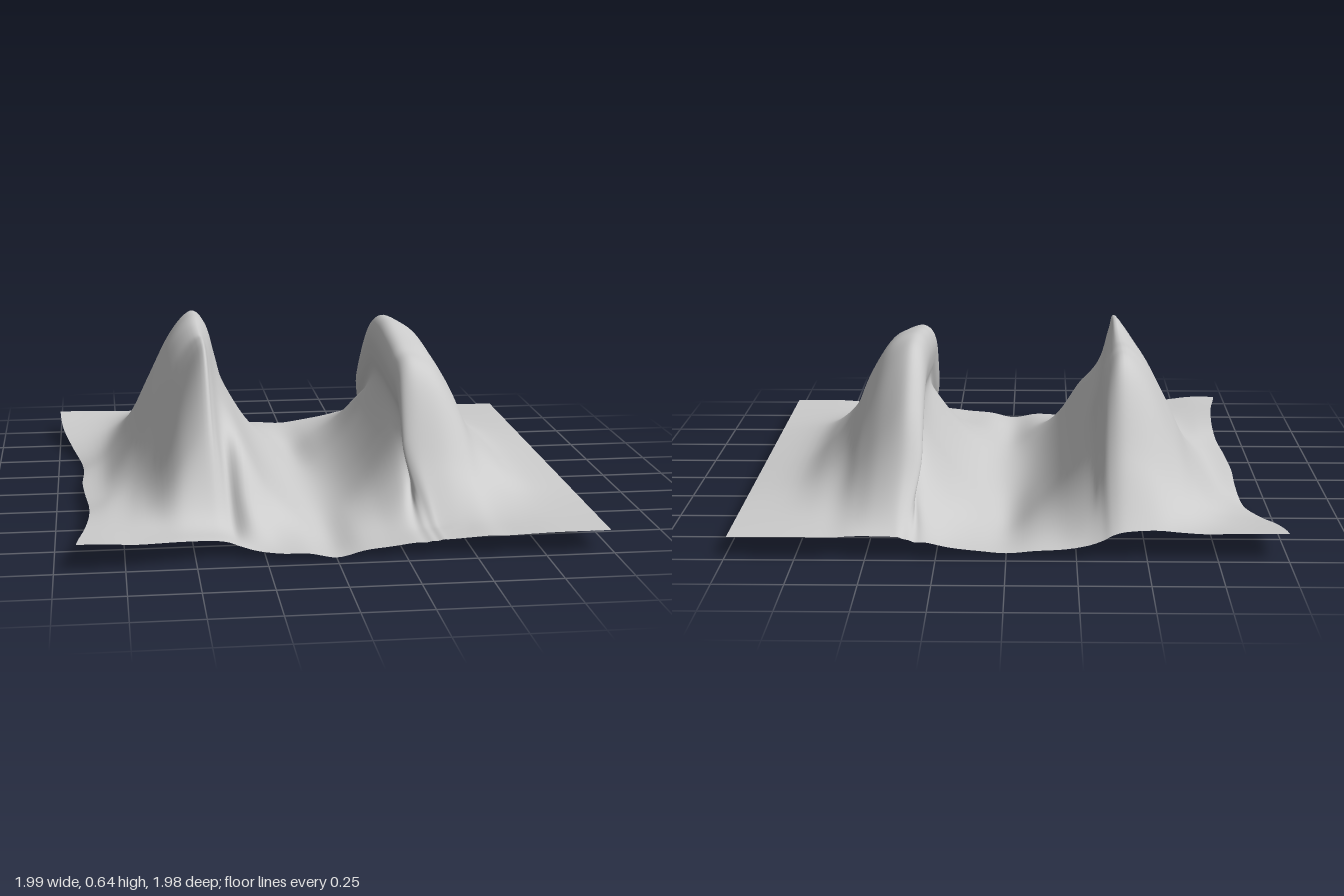
import * as THREE from 'three';

// Cross-section columns: raised x, raised y, flat x, flat y, envelope (fractions blend two)
const COLUMNS = [
  [-0.89, 0.03, -0.96, 0.1, 0], [-0.8, 0.07, -0.82, 0.1, 0], [-0.7, 0.2, -0.71, 0.09, 0],
  [-0.62, 0.37, -0.62, 0.085, 0.25], [-0.52, 0.56, -0.53, 0.08, 0.7], [-0.43, 0.64, -0.43, 0.07, 1],
  [-0.37, 0.585, -0.38, 0.06, 1], [-0.335, 0.46, -0.34, 0.045, 1], [-0.3, 0.34, -0.28, 0.03, 4],
  [-0.2, 0.165, -0.2, 0.025, 4], [-0.1, 0.06, -0.1, 0.025, 4], [0, 0.02, 0, 0.02, 4],
  [0.1, 0.045, 0.1, 0.03, 5], [0.2, 0.13, 0.2, 0.04, 5], [0.3, 0.27, 0.28, 0.05, 5],
  [0.342, 0.38, 0.32, 0.05, 2], [0.322, 0.47, 0.345, 0.055, 2], [0.312, 0.56, 0.365, 0.055, 2],
  [0.335, 0.625, 0.385, 0.06, 2], [0.385, 0.64, 0.41, 0.06, 2], [0.47, 0.59, 0.48, 0.065, 2.4],
  [0.55, 0.46, 0.55, 0.07, 2.8], [0.615, 0.31, 0.62, 0.07, 3], [0.7, 0.2, 0.7, 0.075, 3],
  [0.81, 0.115, 0.81, 0.08, 3], [0.99, 0.08, 0.99, 0.08, 3],
];

// Smooth curve through evenly spaced values
function smooth(values) {
  const curve = new THREE.SplineCurve(values.map((v, i) => new THREE.Vector2(i, v)));
  return (t) => curve.getPoint(t).y;
}

// Ridge height from back to front: left slope, left crest, right crest, right slope, left foot, right foot
const ENVELOPES = [
  [0.05, 0.33, 0.78, 1, 1, 0.92, 0.62, 0.32, 0.13, 0.02, 0],
  [0.06, 0.43, 0.93, 1, 0.98, 0.98, 1, 0.92, 0.55, 0.07, 0],
  [0.04, 0.27, 0.67, 0.95, 1, 0.97, 0.92, 0.82, 0.28, 0.02, 0],
  [0.03, 0.13, 0.4, 0.8, 1, 1, 0.95, 0.76, 0.3, 0.05, 0],
  [0.06, 0.45, 0.93, 1, 1, 1, 1, 0.97, 0.8, 0.25, 0],
  [0.06, 0.38, 0.8, 1, 1, 1, 1, 0.9, 0.42, 0.06, 0],
].map(smooth);

function envelope(e, v) {
  const low = Math.floor(e);
  const k = THREE.MathUtils.lerp(ENVELOPES[low](v), ENVELOPES[Math.ceil(e)](v), e - low);
  return Math.max(0, k);
}

// Wavy front and back borders, the side border's drift, the valley floor, the left wall's lean
const frontZ = smooth([0.985, 0.985, 0.94, 0.9, 0.945, 0.955, 0.95, 0.955, 0.965, 0.98, 0.98]);
const backZ = smooth([-0.985, -0.98, -0.975, -0.985, -0.97, -0.975, -0.99, -0.985, -0.98, -0.985, -0.985]);
const edgeX = smooth([-1, -0.985, -0.945, -0.905, -0.895, -0.9, -0.89, -0.875, -0.875, -0.89, -0.92]);
const edgeY = smooth([0.1, 0.07, 0.035, 0.015, 0.03, 0.04, 0.05, 0.06, 0.08, 0.095, 0.1]);
const valleyY = smooth([0.02, 0.01, 0, 0.005, 0.015, 0.02, 0.02, 0.015, 0.005, 0, 0.008]);
const wallLean = smooth([0, 0, 0, 0, -0.01, -0.02, -0.03, -0.035, -0.03, -0.01, 0]);

// One cross-section at v (0 back, 1 front)
function sectionAt(v) {
  const points = COLUMNS.map(([xr, yr, xf, yf, e], i) => {
    if (i === 0) return new THREE.Vector2(edgeX(v), edgeY(v));
    if (i === 11) return new THREE.Vector2(xr, valleyY(v));
    const k = envelope(e, v);
    // the overhang outlasts the height toward the ridge ends
    const lean = i === 6 || i === 7 ? wallLean(v) : 0;
    const x = THREE.MathUtils.lerp(xf, xr, THREE.MathUtils.smoothstep(k, 0, 0.5)) + lean;
    // shallow dip beside the left ridge
    const dip = e < 0.5 ? 0.025 * (1 - k) * Math.sin(Math.PI * v) : 0;
    return new THREE.Vector2(x, THREE.MathUtils.lerp(yf, yr, k) - dip);
  });
  return new THREE.SplineCurve(points);
}

function foldedSheet(nu, nv) {
  const position = [], index = [];
  for (let j = 0; j <= nv; j++) {
    const v = j / nv, section = sectionAt(v);
    for (let i = 0; i <= nu; i++) {
      const p = section.getPoint(i / nu);
      const s = THREE.MathUtils.clamp((p.x + 0.95) / 1.94, 0, 1);
      position.push(p.x, Math.max(0, p.y), THREE.MathUtils.lerp(backZ(s), frontZ(s), v));
    }
  }
  for (let j = 0; j < nv; j++) {
    for (let i = 0; i < nu; i++) {
      const a = j * (nu + 1) + i, c = a + nu + 1;
      index.push(a, c, a + 1, a + 1, c, c + 1);
    }
  }
  const geometry = new THREE.BufferGeometry();
  geometry.setAttribute('position', new THREE.Float32BufferAttribute(position, 3));
  geometry.setIndex(index);
  geometry.computeVertexNormals();
  return geometry;
}

export function createModel() {
  const group = new THREE.Group();
  group.name = 'ridgedSurface';
  const material = new THREE.MeshStandardMaterial({ color: 0xcccccc, side: THREE.DoubleSide });
  const sheet = new THREE.Mesh(foldedSheet(125, 90), material);
  sheet.name = 'foldedSheet';
  group.add(sheet);
  return group;
}
